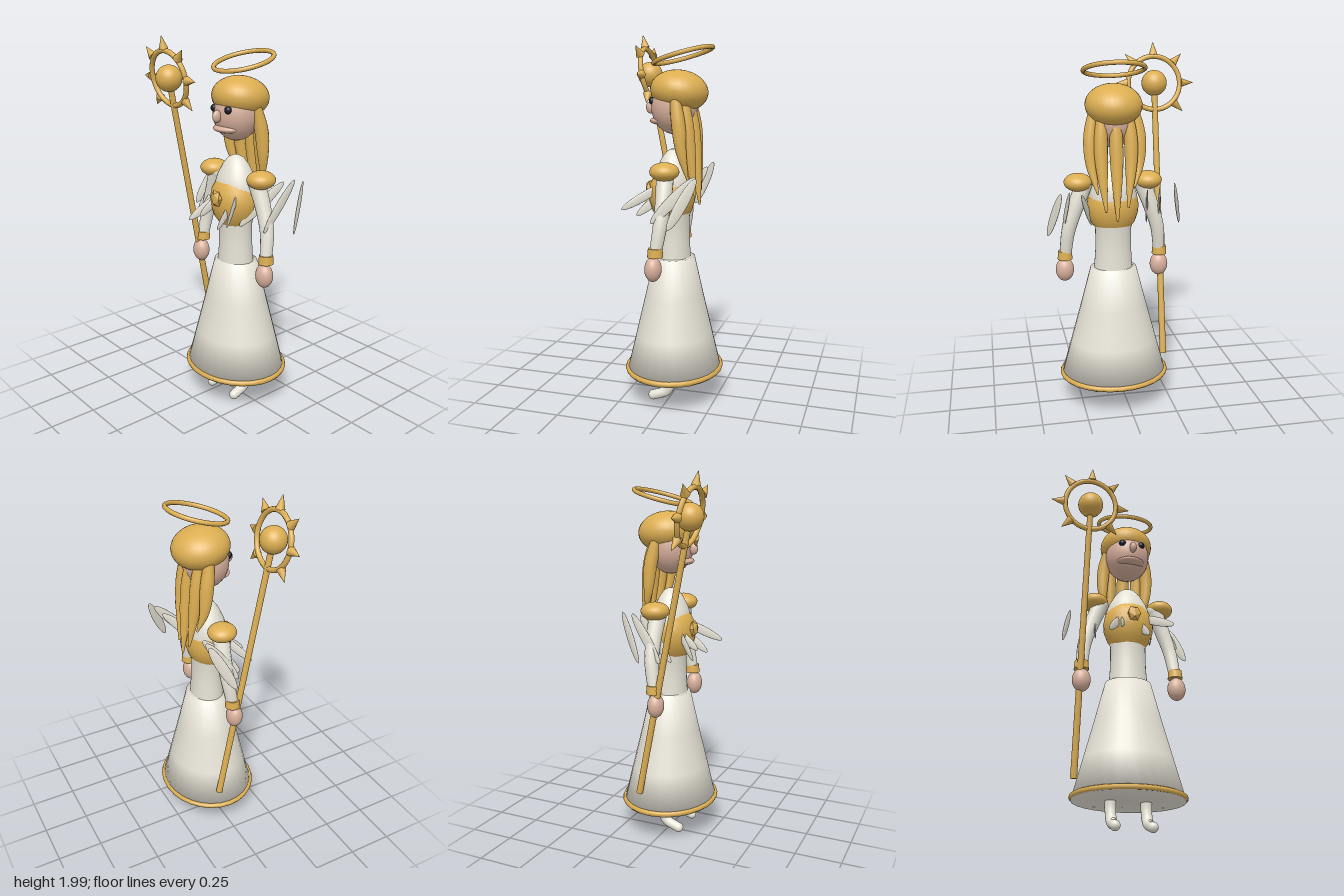
import * as THREE from 'three';

const material = (name, color) => {
  const m = new THREE.MeshStandardMaterial({ color });
  m.name = name;
  return m;
};

export function createModel() {
  const gold = material('gold', 0xdcae52);
  const cloth = material('ivory cloth', 0xe6e2d6);
  const skin = material('skin', 0xd8b09c);
  const dark = material('eye black', 0x1b1b28);

  const model = new THREE.Group();
  model.name = 'staffBearer';
  const body = new THREE.Group();
  body.name = 'body';
  body.position.x = 0.066;
  model.add(body);

  const V = (x, y, z) => new THREE.Vector3(x, y, z);
  const add = (parent, name, geometry, mat, x = 0, y = 0, z = 0) => {
    const mesh = new THREE.Mesh(geometry, mat);
    mesh.name = name;
    mesh.position.set(x, y, z);
    parent.add(mesh);
    return mesh;
  };
  const ellipsoid = (parent, name, mat, [x, y, z], [rx, ry, rz]) => {
    const mesh = add(parent, name, new THREE.SphereGeometry(1, 28, 18), mat, x, y, z);
    mesh.scale.set(rx, ry, rz);
    return mesh;
  };
  const lathe = (name, mat, profile, depth, z) => {
    const pts = profile.map(([r, y]) => new THREE.Vector2(r, y));
    const mesh = add(body, name, new THREE.LatheGeometry(pts, 28), mat, 0, 0, z);
    mesh.scale.z = depth;
    return mesh;
  };
  // Tube whose radius varies along its length, with rounded ends
  const limb = (parent, name, mat, points, radius) => {
    const curve = new THREE.CatmullRomCurve3(points);
    const rings = 20, sides = 14;
    const g = new THREE.TubeGeometry(curve, rings, 1, sides, false);
    const p = g.attributes.position, v = V(0, 0, 0);
    for (let i = 0; i <= rings; i++) {
      const c = curve.getPointAt(i / rings), r = radius(i / rings);
      for (let j = 0; j <= sides; j++) {
        const k = i * (sides + 1) + j;
        v.fromBufferAttribute(p, k).sub(c).multiplyScalar(r).add(c);
        p.setXYZ(k, v.x, v.y, v.z);
      }
    }
    add(parent, name, g, mat);
    [0, 1].forEach((t) => {
      const c = curve.getPointAt(t), r = radius(t);
      ellipsoid(parent, name + 'End', mat, [c.x, c.y, c.z], [r, r, r]);
    });
  };

  // Skirt with closed underside and gold hem
  lathe('skirt', cloth, [[0, 0.168], [0.298, 0.168], [0.24, 0.38], [0.183, 0.59], [0.127, 0.805], [0, 0.806]], 0.86, -0.016);
  const hem = add(body, 'hem', new THREE.TorusGeometry(0.293, 0.014, 8, 28).rotateX(Math.PI / 2), gold, 0, 0.184, -0.016);
  hem.scale.z = 0.87;

  // Torso and breastplate
  lathe('torso', cloth, [[0.107, 0.79], [0.099, 0.9], [0.098, 1.02], [0.12, 1.13], [0.13, 1.21],
    [0.108, 1.28], [0.075, 1.34], [0.045, 1.375], [0.02, 1.387], [0, 1.388]], 0.85, -0.013);
  lathe('breastplate', gold, [[0.09, 1.02], [0.12, 1.06], [0.137, 1.11], [0.141, 1.155],
    [0.132, 1.205], [0.105, 1.25], [0.06, 1.275], [0, 1.285]], 0.88, -0.004);
  const gem = add(body, 'brooch', new THREE.IcosahedronGeometry(0.048, 0), gold, 0, 1.172, 0.122);
  gem.scale.set(0.85, 1, 0.5);

  // Head and face
  ellipsoid(body, 'head', skin, [0, 1.61, -0.015], [0.126, 0.145, 0.122]);
  ellipsoid(body, 'mouth', skin, [0, 1.535, 0.045], [0.082, 0.024, 0.07]);
  ellipsoid(body, 'nose', skin, [0, 1.603, 0.116], [0.019, 0.032, 0.026]);
  for (const s of [-1, 1]) ellipsoid(body, 'eye', dark, [s * 0.055, 1.638, 0.088], [0.02, 0.02, 0.018]);

  // Hair cap, hanging locks and halo
  const cap = ellipsoid(body, 'hairCap', gold, [0, 1.69, -0.042], [0.15, 0.108, 0.153]);
  cap.rotation.x = -0.13;
  const lock = (t) => 0.006 + 0.03 * Math.sin(Math.PI * Math.pow(0.12 + 0.88 * t, 0.8));
  [[-0.115, 1.27, -0.06], [-0.07, 1.17, -0.09], [0, 1.1, -0.1], [0.07, 1.15, -0.09], [0.115, 1.24, -0.06]].forEach(([x, end, z]) =>
    limb(body, 'hairLock', gold, [V(x * 0.95, 1.66, z + 0.01), V(x * 1.12, 1.52, z - 0.015),
      V(x * 1.1, 1.38, z - 0.03), V(x * 0.85, end, z - 0.055)], lock));
  const halo = add(body, 'halo', new THREE.TorusGeometry(0.158, 0.012, 10, 40).rotateX(Math.PI / 2), gold, 0, 1.87, -0.062);
  halo.rotation.x = 0.27;

  // Arms, hands, shoulder pads and legs
  for (const s of [-1, 1]) {
    limb(body, 'arm', cloth, [V(s * 0.16, 1.27, -0.015), V(s * 0.205, 1.15, -0.02),
      V(s * 0.245, 1.02, -0.015), V(s * 0.262, 0.88, 0.005)], (t) => 0.047 - 0.015 * t);
    ellipsoid(body, 'shoulderPad', gold, [s * 0.19, 1.286, -0.02], [0.075, 0.048, 0.077]);
    add(body, 'cuff', new THREE.CylinderGeometry(0.037, 0.041, 0.046, 20), gold, s * 0.264, 0.88, 0.006);
    ellipsoid(body, 'hand', skin, [s * 0.265, 0.792, 0.018], [0.05, 0.065, 0.044]);
    limb(body, 'leg', cloth, [V(s * 0.094, 0.22, -0.02), V(s * 0.094, 0.12, -0.022),
      V(s * 0.094, 0.063, 0), V(s * 0.096, 0.029, 0.078)], (t) => 0.03 - 0.003 * t);
  }

  // Wing feathers: thin blades from root to tip, standing on edge
  const wings = new THREE.Group();
  wings.name = 'wings';
  model.add(wings);
  const feather = (a, b, width = 0.03) => {
    const d = b.clone().sub(a), length = d.length();
    d.normalize();
    const thin = d.clone().cross(V(0, 1, 0)).normalize();
    const mid = a.clone().add(b).multiplyScalar(0.5);
    const f = ellipsoid(wings, 'feather', cloth, [mid.x, mid.y, mid.z], [0.006, length / 2, width]);
    f.quaternion.setFromRotationMatrix(new THREE.Matrix4().makeBasis(thin, d, thin.clone().cross(d)));
  };
  feather(V(0.365, 1.27, -0.215), V(0.43, 1.02, -0.09));
  feather(V(0.32, 1.27, -0.2), V(0.335, 1.03, 0.03));
  feather(V(0.26, 1.25, -0.18), V(0.17, 1.03, 0.05));
  feather(V(0.12, 1.21, 0.01), V(0.26, 1.08, 0.215), 0.025);
  feather(V(0.1, 1.18, 0.0), V(0.137, 1.03, 0.175), 0.025);
  feather(V(-0.235, 1.29, -0.155), V(-0.3, 1.04, -0.03));
  feather(V(-0.165, 1.27, -0.135), V(-0.195, 1.02, 0.04));
  feather(V(-0.1, 1.25, -0.12), V(-0.14, 1.02, 0.08));
  feather(V(0.03, 1.19, 0.03), V(-0.09, 1.03, 0.185), 0.025);
  feather(V(0.01, 1.18, 0.02), V(-0.005, 1.07, 0.175), 0.025);

  // Staff with orb and spiked ring, leaning forward
  const staff = new THREE.Group();
  staff.name = 'staff';
  staff.position.set(-0.208, 1.777, 0.212);
  staff.rotation.x = 0.192;
  model.add(staff);
  add(staff, 'shaft', new THREE.CylinderGeometry(0.016, 0.018, 1.52, 14), gold, 0, -0.76, 0);
  ellipsoid(staff, 'orb', gold, [0, 0, 0], [0.07, 0.07, 0.07]);
  add(staff, 'ring', new THREE.TorusGeometry(0.145, 0.014, 10, 40), gold);
  for (let i = -3; i <= 3; i++) {
    const spike = new THREE.ConeGeometry(0.025, 0.072, 12).translate(0, 0.188, 0);
    add(staff, 'spike', spike, gold).rotation.z = i * Math.PI / 4;
  }
  return model;
}
